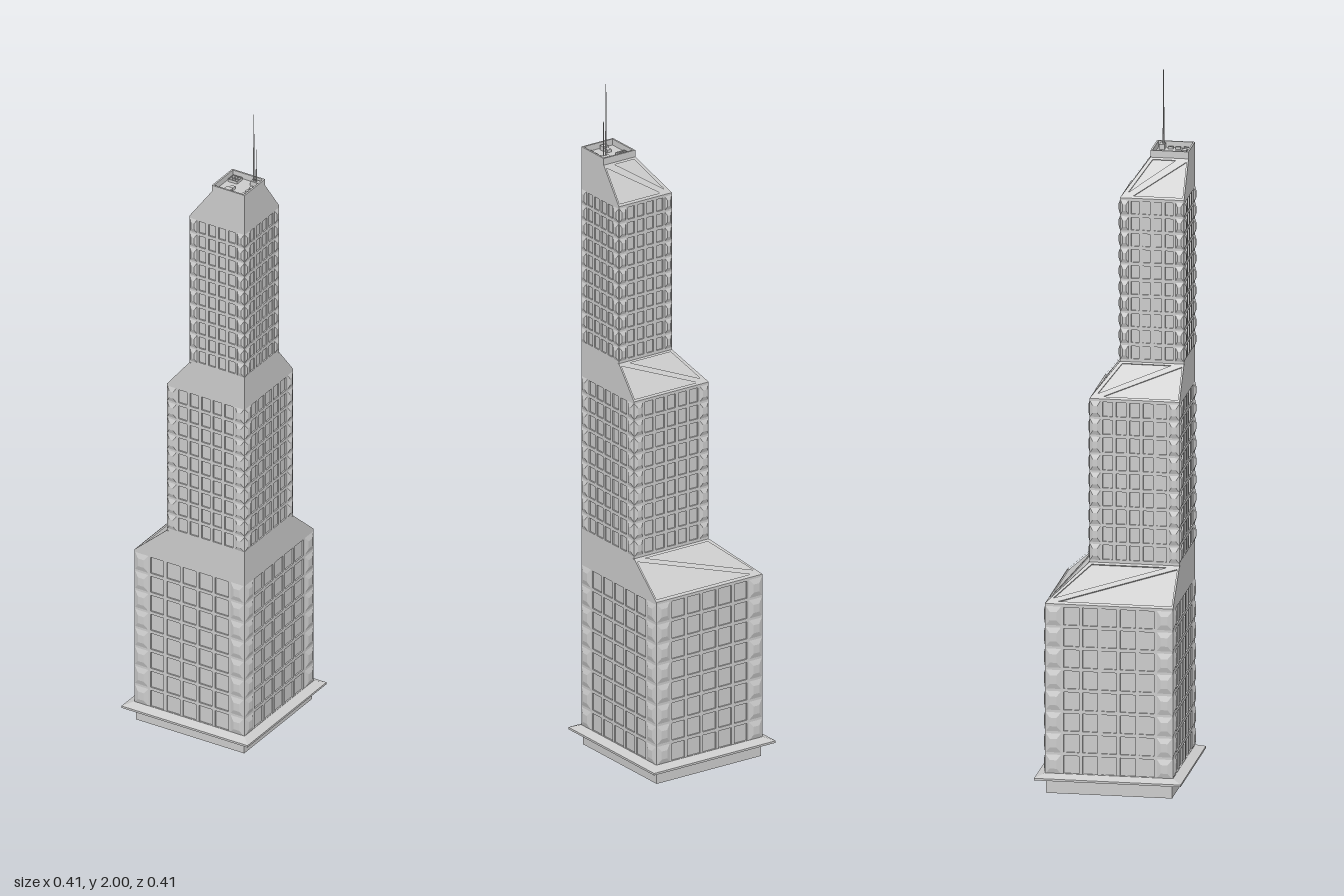
import * as THREE from 'three';
import { mergeGeometries } from 'three/addons/utils/BufferGeometryUtils.js';
import { ConvexGeometry } from 'three/addons/geometries/ConvexGeometry.js';

const E = 0.18;      // outer edge shared by every tier (+x and +z sides)
const D = 0.004;     // depth of window and panel recesses

const concrete = new THREE.MeshStandardMaterial({ color: 0xcbcbcb });
concrete.name = 'pale grey';

// each tier: lower edge, facade heights, slope top height and edge, window grid, corner strip width
const tiers = [
  { name: 'lowerTier', b: -0.18, y0: 0.05, y1: 0.545, y2: 0.64, t: -0.073, cols: 5, rows: 8, strip: 0.048 },
  { name: 'middleTier', b: -0.073, y0: 0.64, y1: 1.11, y2: 1.2, t: 0, cols: 5, rows: 9, strip: 0.032 },
  { name: 'upperTier', b: 0, y0: 1.2, y1: 1.67, y2: 1.77, t: 0.073, cols: 4, rows: 10, strip: 0.026 },
];

function add(parent, name, geometry, x = 0, y = 0, z = 0) {
  const mesh = new THREE.Mesh(geometry, concrete);
  mesh.name = name;
  mesh.position.set(x, y, z);
  parent.add(mesh);
  return mesh;
}

function box(parent, name, w, h, d, x, y, z) {
  return add(parent, name, new THREE.BoxGeometry(w, h, d), x, y, z);
}

const outline = (pts, Kind = THREE.Shape) => new Kind(pts.map(([x, y]) => new THREE.Vector2(x, y)));
const rect = (x0, y0, x1, y1) => [[x0, y0], [x1, y0], [x1, y1], [x0, y1]];

// flat plate with openings, its outer face at z = 0
function plate(pts, holes, depth) {
  const shape = outline(pts);
  shape.holes = holes.map((h) => outline(h, THREE.Path));
  return new THREE.ExtrudeGeometry(shape, { depth, bevelEnabled: false }).translate(0, 0, -depth);
}

// four-sided truncated pyramid with flat faces, pointing up +y
function frustum(top, bottom, height) {
  const g = new THREE.CylinderGeometry(top * Math.SQRT1_2, bottom * Math.SQRT1_2, height, 4);
  const flat = g.rotateY(Math.PI / 4).toNonIndexed();
  flat.computeVertexNormals();
  return flat;
}

// window frames and corner studs for one side of a tier
function facade(tier, h) {
  const { y0, y1, cols, rows, strip } = tier;
  const a = h - strip, cw = (2 * a) / cols, rh = (y1 - y0 - 0.008) / rows, m = 0.005;
  const holes = [], studs = [];
  for (let r = 0; r < rows; r++) {
    const y = y0 + 0.004 + r * rh;
    for (let c = 0; c < cols; c++) {
      const x = -a + c * cw;
      holes.push(rect(x + m, y + m, x + cw - m, y + rh - m));
    }
    for (const s of [-1, 1]) {
      studs.push(frustum(0.4, 0.9, 0.005).rotateX(Math.PI / 2)
        .scale(strip, rh, 1).translate(s * (h - strip / 2), y + rh / 2, h + 0.0024));
    }
  }
  const frame = plate(rect(-h, y0, h, y1), holes, D).translate(0, 0, h);
  return { frame, studs: mergeGeometries(studs) };
}

// sloped roof plate with two triangular recesses; side is 'back' or 'left'
function slopePlate({ b, t, y1, y2 }, side) {
  const rise = y2 - y1, run = t - b, L = Math.hypot(rise, run);
  const sy = rise / L, sr = run / L, back = side === 'back';
  const map = ([p, k]) => [back ? -p : p, k * L];
  const geometry = plate(
    [[b, 0], [E, 0], [E, 1], [t, 1]].map(map),
    [
      [[b + 0.037, 0.06], [0.175, 0.06], [0.175, 0.92]].map(map),
      [[b + 0.021, 0.13], [0.145, 0.95], [t + 0.007, 0.95]].map(map),
    ], D);
  const u = back ? new THREE.Vector3(-1, 0, 0) : new THREE.Vector3(0, 0, 1);
  const v = back ? new THREE.Vector3(0, sy, sr) : new THREE.Vector3(sr, sy, 0);
  const n = back ? new THREE.Vector3(0, sr, -sy) : new THREE.Vector3(-sy, sr, 0);
  const m = new THREE.Matrix4().makeBasis(u, v, n);
  m.setPosition(back ? 0 : b, y1, back ? b : 0);
  return geometry.applyMatrix4(m);
}

function buildTier(tier) {
  const { b, t, y0, y1, y2 } = tier;
  const group = new THREE.Group();
  group.name = tier.name;
  const h = (E - b) / 2, c = (E + b) / 2;

  // recessed window wall
  box(group, 'windowWall', 2 * (h - D), y1 - y0, 2 * (h - D), c, (y0 + y1) / 2, c);
  const { frame, studs } = facade(tier, h);
  for (let k = 0; k < 4; k++) {
    add(group, 'windowFrame', frame, c, 0, c).rotation.y = k * Math.PI / 2;
    add(group, 'cornerStuds', studs, c, 0, c).rotation.y = k * Math.PI / 2;
  }

  // setback roof: upright at front and left edge, sloped on the other two sides
  const inset = D * Math.hypot(y2 - y1, t - b) / (y2 - y1);
  const ring = (e, y) => [[e, e], [E, e], [E, E], [e, E]].map(([x, z]) => new THREE.Vector3(x, y, z));
  add(group, 'setbackCore', new ConvexGeometry([...ring(b + inset, y1), ...ring(t + inset, y2)]));
  add(group, 'setbackBackSlope', slopePlate(tier, 'back'));
  add(group, 'setbackSideSlope', slopePlate(tier, 'left'));
  return group;
}

function buildRoof() {
  const roof = new THREE.Group();
  roof.name = 'roof';
  const y = 1.77, lo = 0.073, w = 0.005;

  // floor and parapet
  const size = E - lo, mid = (E + lo) / 2;
  box(roof, 'roofFloor', size - 0.002, 0.004, size - 0.002, mid, y, mid);
  const parapet = plate(rect(lo, -E, E, -lo), [rect(lo + w, -E + w, E - w, -lo - w)], 0.022);
  add(roof, 'parapet', parapet.rotateX(-Math.PI / 2), 0, 1.79, 0);

  // skylight with raised bars
  box(roof, 'skylight', 0.028, 0.006, 0.026, 0.098, y + 0.004, 0.098);
  for (let i = 0; i < 4; i++) box(roof, 'skylightBar', 0.002, 0.01, 0.028, 0.084 + i * 0.0093, y + 0.005, 0.098);
  for (let i = 0; i < 3; i++) box(roof, 'skylightBar', 0.03, 0.01, 0.002, 0.098, y + 0.005, 0.085 + i * 0.013);

  // plant unit and vents
  box(roof, 'plantUnit', 0.02, 0.014, 0.014, 0.116, y + 0.008, 0.161);
  box(roof, 'plantDuct', 0.013, 0.009, 0.02, 0.116, y + 0.006, 0.146);
  for (const z of [0.115, 0.136, 0.159]) box(roof, 'roofVent', 0.007, 0.008, 0.014, 0.161, y + 0.005, z);

  // mast base and two masts
  box(roof, 'mastBase', 0.024, 0.016, 0.015, 0.16, y + 0.009, 0.092);
  for (const [x, r, top] of [[0.157, 0.0025, 2], [0.165, 0.002, 1.89]]) {
    const height = top - y;
    add(roof, 'mast', new THREE.CylinderGeometry(0.0008, r, height, 8), x, y + height / 2, 0.095);
  }
  return roof;
}

export function createModel() {
  const model = new THREE.Group();
  model.name = 'skyscraper';

  // plinth and projecting ledge
  box(model, 'plinth', 0.354, 0.05, 0.354, 0, 0.025, 0);
  box(model, 'ledgeRim', 0.412, 0.006, 0.412, 0, 0.045, 0);
  add(model, 'ledgeSlope', frustum(0.362, 0.412, 0.01).scale(2, 1, 2).scale(0.5, 1, 0.5), 0, 0.053, 0);

  for (const tier of tiers) model.add(buildTier(tier));
  model.add(buildRoof());
  return model;
}
